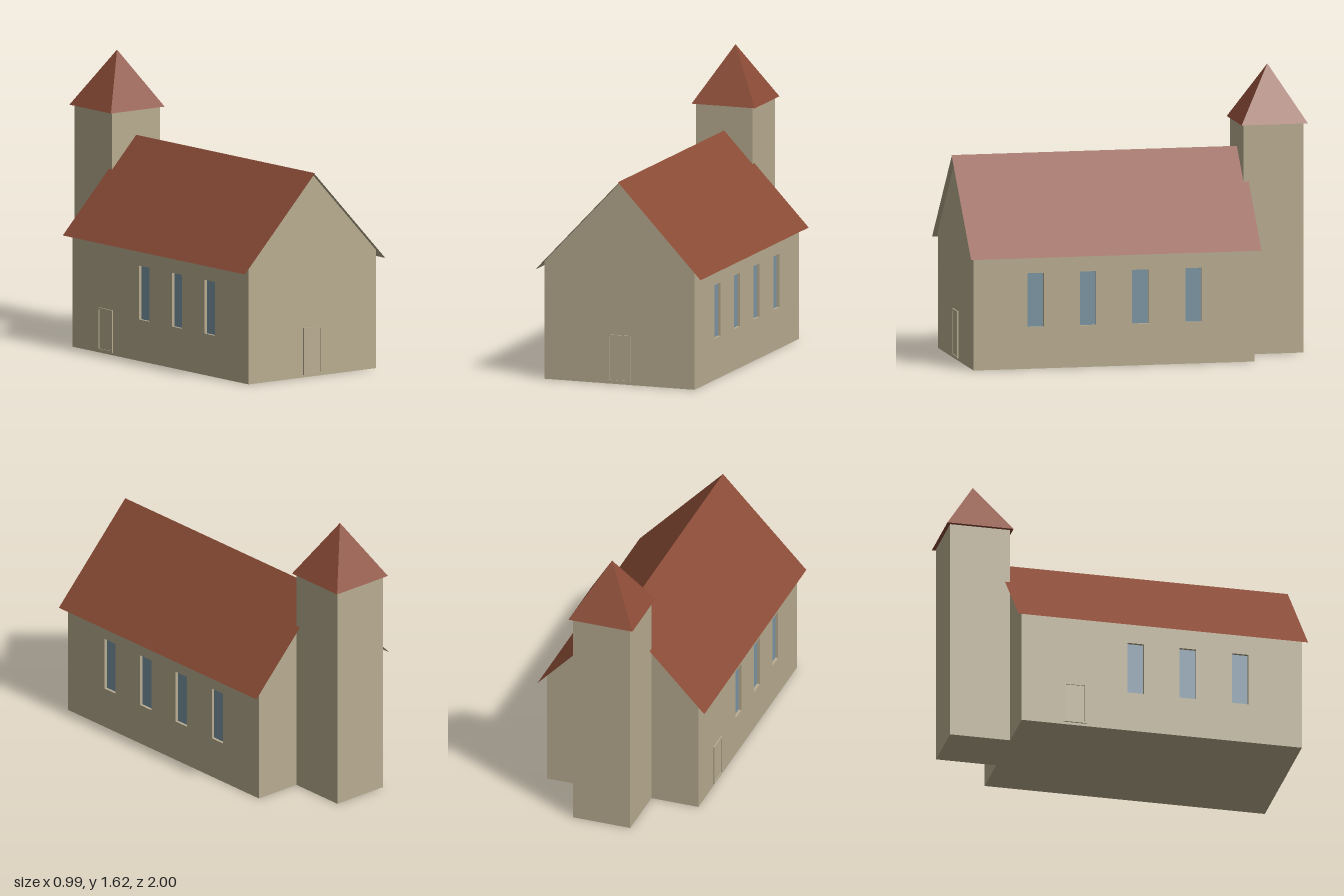
import * as THREE from 'three';

const material = (name, color) => {
  const m = new THREE.MeshStandardMaterial({ color });
  m.name = name;
  return m;
};

export function createModel() {
  const model = new THREE.Group();
  model.name = 'church';
  const plaster = material('plaster', 0xb8ac90);
  const tile = material('roofTile', 0x8a4b36);
  const glass = material('windowGlass', 0x7b94a4);
  const doorPaint = material('doorPaint', 0xbaae92);

  const add = (name, geometry, mat, x = 0, y = 0, z = 0, parent = model) => {
    const mesh = new THREE.Mesh(geometry, mat);
    mesh.name = name;
    mesh.position.set(x, y, z);
    parent.add(mesh);
    return mesh;
  };
  const extrude = (shape, depth) =>
    new THREE.ExtrudeGeometry(shape, { depth, bevelEnabled: false });
  const rectangle = (x0, y0, x1, y1, Type = THREE.Shape) =>
    new Type([[x0, y0], [x1, y0], [x1, y1], [x0, y1]].map(p => new THREE.Vector2(...p)));

  const front = 0.975, back = -0.635, half = 0.45, ridge = 1.145, eave = 0.67;
  const pitch = (ridge - eave) / half;
  const recess = 0.02;
  const length = front - back;

  // House-shaped cross-section of the nave
  const gable = w => new THREE.Shape([
    [-w, 0], [w, 0], [w, ridge - w * pitch], [0, ridge], [-w, ridge - w * pitch],
  ].map(p => new THREE.Vector2(...p)));

  add('naveCore', extrude(gable(half - recess), length - 0.04), plaster, 0, 0, back + 0.02);
  add('frontGable', extrude(gable(half), recess), plaster, 0, 0, front - recess);
  add('backGable', extrude(gable(half), recess), plaster, 0, 0, back);

  // Side walls with recessed windows; one side has a door instead of the last window
  const windowZ = [0.62, 0.32, 0.02, -0.285];
  for (const side of [1, -1]) {
    const group = new THREE.Group();
    group.name = side > 0 ? 'leftWall' : 'rightWall';
    group.position.x = side * half;
    group.rotation.y = side * Math.PI / 2;
    model.add(group);
    // Local x runs along the wall, local z points outward
    const wall = rectangle(-side * front, 0, -side * back, eave);
    for (const z of side > 0 ? windowZ : windowZ.slice(0, 3)) {
      const c = -side * z;
      wall.holes.push(rectangle(c - 0.047, 0.235, c + 0.047, 0.54, THREE.Path));
      add('windowPane', new THREE.BoxGeometry(0.094, 0.305, 0.004), glass,
        c, 0.3875, -recess + 0.001, group);
    }
    add('sideWall', extrude(wall, recess), plaster, 0, 0, -recess, group);
  }

  // Shallow framed doors
  const addDoor = (name, height, x, z, turn) => {
    const door = new THREE.Group();
    door.name = name;
    door.position.set(x, 0.015, z);
    door.rotation.y = turn;
    model.add(door);
    const frame = rectangle(-0.066, 0, 0.066, height);
    frame.holes.push(rectangle(-0.056, 0.008, 0.056, height - 0.01, THREE.Path));
    add('doorFrame', extrude(frame, 0.008), plaster, 0, 0, 0, door);
    add('doorPanel', new THREE.BoxGeometry(0.112, height - 0.018, 0.004), doorPaint,
      0, height / 2 - 0.001, 0.001, door);
  };
  addDoor('frontDoor', 0.265, 0, front, 0);
  addDoor('sideDoor', 0.24, -half, -0.33, -Math.PI / 2);

  // Roof slopes: tiled top sheet and plastered soffit, open at the ends
  const sheet = (side, top, up) => {
    const w = 0.496, z0 = -0.665, z1 = 1;
    const low = top - w * pitch;
    const p = [[0, top, z1], [side * w, low, z1], [side * w, low, z0], [0, top, z0]];
    const g = new THREE.BufferGeometry();
    g.setAttribute('position', new THREE.Float32BufferAttribute(p.flat(), 3));
    g.setIndex((side > 0) === up ? [0, 1, 2, 0, 2, 3] : [0, 2, 1, 0, 3, 2]);
    g.computeVertexNormals();
    return g;
  };
  for (const side of [1, -1]) {
    add('roofSlope', sheet(side, ridge + 0.01, true), tile);
    add('roofSoffit', sheet(side, ridge + 0.002, false), plaster);
  }

  // Tower with a pyramid roof
  const towerZ = -0.81;
  add('tower', new THREE.BoxGeometry(0.34, 1.297, 0.345), plaster, 0, 0.6485, -0.8075);
  const spire = new THREE.ConeGeometry(0.19 * Math.SQRT2, 0.318, 4, 1).toNonIndexed();
  spire.rotateY(Math.PI / 4);
  spire.computeVertexNormals();
  add('towerRoof', spire, tile, 0, 1.297 + 0.159, towerZ);

  return model;
}
